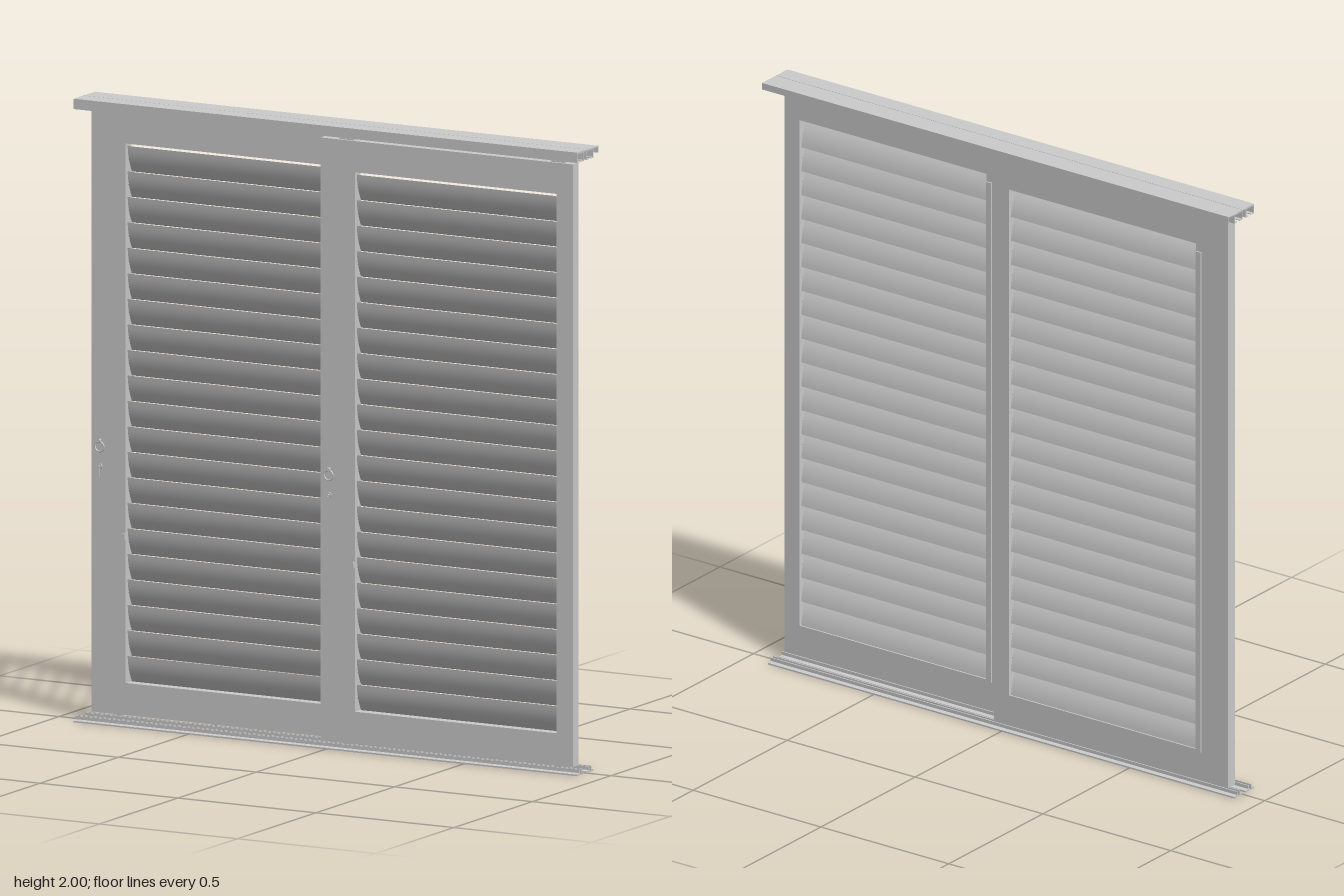
import * as THREE from 'three';
import { toCreasedNormals } from 'three/addons/utils/BufferGeometryUtils.js';

const material = new THREE.MeshStandardMaterial({ color: 0xcccccc, roughness: 0.8 });

// Panel measures (local x runs from the wide stile at 0 to the narrow stile)
const W = 0.915, Y0 = 0.027, Y1 = 1.96, DEPTH = 0.037;
const OPEN = { x0: 0.125, x1: 0.856, y0: 0.13, y1: 1.86 };
const SLATS = 21, PITCH = 0.0818, TILT = 0.31;
const LENGTH = 1.825;

function add(parent, name, geometry, x = 0, y = 0, z = 0) {
  const mesh = new THREE.Mesh(geometry, material);
  mesh.name = name;
  mesh.position.set(x, y, z);
  parent.add(mesh);
  return mesh;
}

const box = (w, h, d) => new THREE.BoxGeometry(w, h, d);
const disc = (r, d, n = 16) => new THREE.CylinderGeometry(r, r, d, n).rotateX(Math.PI / 2);

// Sweep a (depth, height) section along x, centred on x = 0
function alongX(shape, length, curveSegments = 4) {
  const g = new THREE.ExtrudeGeometry(shape, { depth: length, bevelEnabled: false, curveSegments });
  g.translate(0, 0, -length / 2).rotateY(Math.PI / 2);
  return g;
}

function polygon(points) {
  return new THREE.Shape(points.map(([x, y]) => new THREE.Vector2(x, y)));
}

function frameGeometry() {
  const s = polygon([[0, Y0], [W, Y0], [W, Y1], [0, Y1]]);
  const { x0, x1, y0, y1 } = OPEN;
  s.holes.push(polygon([[x0, y0], [x0, y1], [x1, y1], [x1, y0]]));
  return new THREE.ExtrudeGeometry(s, { depth: DEPTH, bevelEnabled: false }).translate(0, 0, -DEPTH / 2);
}

// Lens-shaped blade, top edge leaning to the front
function slatGeometry() {
  const s = new THREE.Shape();
  s.moveTo(0, -0.045);
  s.quadraticCurveTo(0.01, 0, 0, 0.045);
  s.quadraticCurveTo(-0.01, 0, 0, -0.045);
  const g = alongX(s, OPEN.x1 - OPEN.x0 - 0.008, 6).rotateX(TILT);
  return toCreasedNormals(g, 0.4);
}

function makeHandle() {
  const handle = new THREE.Group();
  handle.name = 'handle';
  // Ring pull with its boss
  add(handle, 'ringPull', new THREE.TorusGeometry(0.016, 0.0025, 8, 24), 0, 0.88, 0.004);
  add(handle, 'ringBoss', disc(0.005, 0.011), 0, 0.9, 0.004);
  // Lock rose with a small key
  add(handle, 'lockRose', disc(0.009, 0.005), 0, 0.817, 0.002);
  add(handle, 'keyStem', disc(0.003, 0.012, 10), 0, 0.817, 0.005);
  add(handle, 'keyBow', box(0.005, 0.028, 0.003), 0, 0.798, 0.009);
  return handle;
}

function makePanel(name) {
  const panel = new THREE.Group();
  panel.name = name;
  add(panel, 'frame', frameGeometry());

  // Louvre slats on pivot pins
  const slat = slatGeometry();
  const midX = (OPEN.x0 + OPEN.x1) / 2;
  const pin = new THREE.CylinderGeometry(0.003, 0.003, OPEN.x1 - OPEN.x0, 8).rotateZ(Math.PI / 2);
  for (let i = 0; i < SLATS; i++) {
    const y = OPEN.y0 + 0.043 + i * PITCH;
    add(panel, 'slat', slat, midX, y, 0);
    add(panel, 'slatPin', pin, midX, y, 0);
  }

  // Cover strip for the slat linkage on the back, and its lever on the front
  add(panel, 'linkageStrip', box(0.02, 1.71, 0.006), OPEN.x0 - 0.012, 0.98, -DEPTH / 2 - 0.002);
  add(panel, 'slatLever', box(0.008, 0.018, 0.01), OPEN.x0 - 0.004, 0.6, DEPTH / 2 + 0.004);

  const handle = makeHandle();
  handle.position.set(0.032, 0, DEPTH / 2);
  panel.add(handle);

  // Roller hangers above and guide pins below, near both ends
  for (const x of [0.09, W - 0.06]) {
    add(panel, 'hangerBolt', new THREE.CylinderGeometry(0.003, 0.003, 0.03, 8), x, 1.97, 0);
    add(panel, 'hangerPlate', box(0.05, 0.004, 0.02), x, 1.962, 0);
    for (const dx of [-0.016, 0.016])
      for (const z of [-0.011, 0.011]) add(panel, 'roller', disc(0.008, 0.006), x + dx, 1.985, z);
    add(panel, 'rollerCarriage', box(0.05, 0.008, 0.014), x, 1.985, 0);
    add(panel, 'guideFoot', box(0.03, 0.005, 0.016), x, 0.026, 0);
    add(panel, 'guidePin', box(0.022, 0.02, 0.004), x, 0.015, 0);
  }
  return panel;
}

// C-shaped hanging channel, open slot underneath
function topChannel() {
  const w = 0.022, s = 0.007, t = 0.003, h = 0.03;
  return alongX(polygon([
    [-s, 0], [-s, t], [-w + t, t], [-w + t, h - t], [w - t, h - t], [w - t, t],
    [s, t], [s, 0], [w, 0], [w, h], [-w, h], [-w, 0],
  ]), LENGTH);
}

// Low floor channel with a groove for the guide pins
function floorChannel() {
  const w = 0.022, s = 0.005;
  return alongX(polygon([
    [-w, 0], [w, 0], [w, 0.005], [s + 0.004, 0.008], [s + 0.004, 0.019], [s, 0.019],
    [s, 0.003], [-s, 0.003], [-s, 0.019], [-s - 0.004, 0.019], [-s - 0.004, 0.008], [-w, 0.005],
  ]), LENGTH);
}

export function createModel() {
  const model = new THREE.Group();
  model.name = 'slidingShutters';
  const zFront = 0.0395, zRear = -0.021;

  // Two identical panels, the left-hand opening one sliding in front
  const front = makePanel('frontPanel');
  front.position.set(-0.02, 0, zFront);
  const rear = makePanel('rearPanel');
  rear.position.set(-0.885, 0, zRear);
  model.add(front, rear);

  // Head and floor tracks
  for (const z of [zFront, zRear]) {
    add(model, 'topTrack', topChannel(), 0, 1.967, z);
    add(model, 'floorTrack', floorChannel(), 0, 0, z);
  }

  // Head plate in two strips, with a lip along the wall side
  add(model, 'frontHeadPlate', box(LENGTH, 0.004, 0.06), 0, 1.998, 0.0315);
  add(model, 'rearHeadPlate', box(LENGTH, 0.004, 0.074), 0, 1.998, -0.037);
  add(model, 'headPlateLip', box(LENGTH, 0.022, 0.003), 0, 1.989, -0.0725);
  return model;
}
